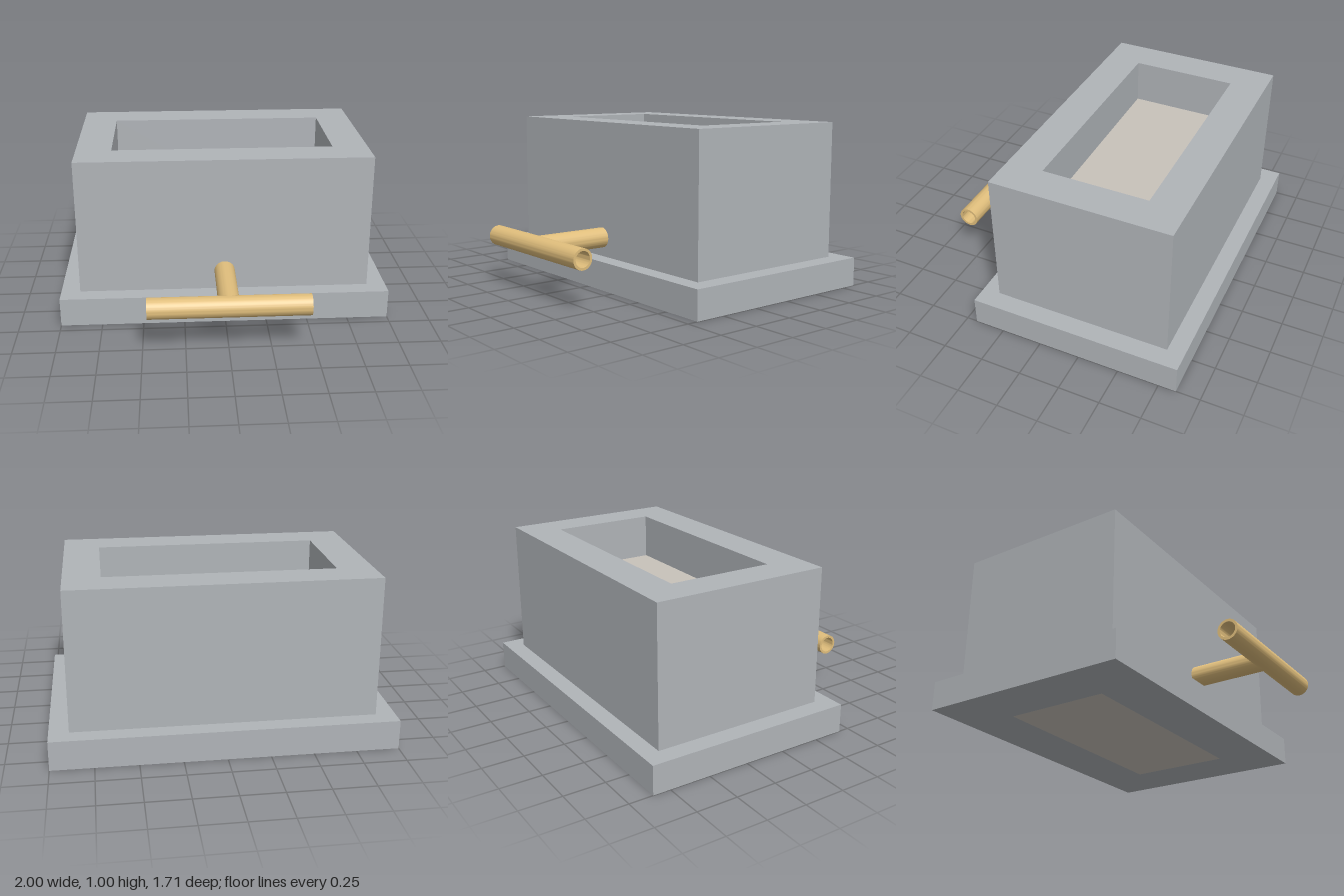
import * as THREE from 'three';
import { toCreasedNormals } from 'three/addons/utils/BufferGeometryUtils.js';

const CENTRE_Z = -0.21; // the trough sits behind the handle

function material(color) {
  return new THREE.MeshStandardMaterial({ color });
}

function part(name, geometry, mat) {
  const mesh = new THREE.Mesh(geometry, mat);
  mesh.name = name;
  return mesh;
}

function rectangle(Target, w, d) {
  const p = new Target();
  p.moveTo(-w / 2, -d / 2);
  p.lineTo(w / 2, -d / 2);
  p.lineTo(w / 2, d / 2);
  p.lineTo(-w / 2, d / 2);
  p.closePath();
  return p;
}

// Upright rectangular frame with the common inner opening
function frame(w, d, y0, y1, opening) {
  const shape = rectangle(THREE.Shape, w, d);
  shape.holes.push(rectangle(THREE.Path, opening.w, opening.d));
  const g = new THREE.ExtrudeGeometry(shape, { depth: y1 - y0, bevelEnabled: false });
  g.rotateX(-Math.PI / 2);
  g.translate(0, y0, CENTRE_Z);
  return g;
}

// Hollow pipe running along +z from 0 to length
function pipe(length, outer, inner) {
  const shape = new THREE.Shape().absarc(0, 0, outer, 0, Math.PI * 2, false);
  shape.holes.push(new THREE.Path().absarc(0, 0, inner, 0, Math.PI * 2, true));
  const g = new THREE.ExtrudeGeometry(shape, { depth: length, bevelEnabled: false, curveSegments: 32 });
  return toCreasedNormals(g, 0.6);
}

export function createModel() {
  const model = new THREE.Group();
  const stone = material(0xb0b4b8);
  const filling = material(0xc8c2ba);
  const brass = material(0xe0be7c);
  const opening = { w: 1.34, d: 0.64 };

  // Plinth and walls
  model.add(part('base', frame(2, 1.29, 0, 0.175, opening), stone));
  model.add(part('walls', frame(1.77, 1.08, 0.175, 1.005, opening), stone));

  // Solid filling, flush with the underside
  const floor = new THREE.BoxGeometry(opening.w, 0.73, opening.d);
  floor.translate(0, 0.365, CENTRE_Z);
  model.add(part('innerFloor', floor, filling));

  // T-shaped pipe on the front
  const handle = new THREE.Group();
  handle.name = 'pipeHandle';
  handle.position.set(0, 0.293, 0);
  const stem = part('pipeStem', pipe(0.47, 0.062, 0.047), brass);
  stem.position.z = 0.325;
  const bar = part('pipeCrossbar', pipe(0.934, 0.062, 0.047), brass);
  bar.rotation.y = Math.PI / 2;
  bar.position.set(-0.467, 0, 0.795);
  handle.add(stem, bar);
  model.add(handle);

  return model;
}
